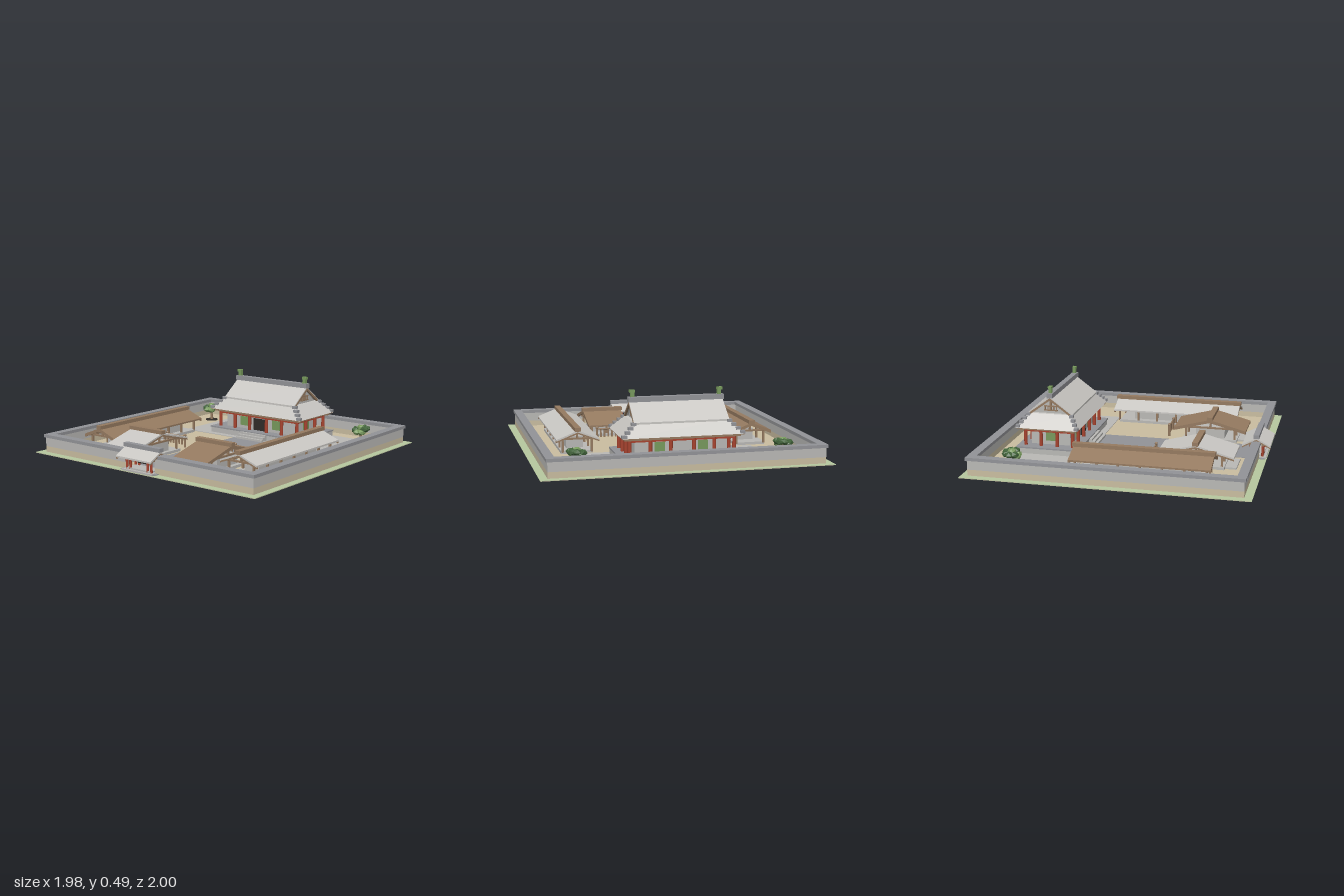
import * as THREE from 'three';

const mat = (name, color) => {
  const m = new THREE.MeshStandardMaterial({ color });
  m.name = name;
  return m;
};

export function createModel() {
  const sand = mat('sand', 0xc9bda0), grass = mat('grass', 0xb6c79f), plaster = mat('plaster', 0xb9b8b5);
  const stone = mat('stone', 0x929397), tile = mat('pale roof tile', 0xc9c7c3), wood = mat('wood', 0x957a60);
  const red = mat('red lacquer', 0xa8432e), leaf = mat('dark leaf', 0x41633a), jade = mat('jade green', 0x77995c);
  const dark = mat('dark timber', 0x302c28);

  const add = (parent, name, geometry, material, x = 0, y = 0, z = 0) => {
    const m = new THREE.Mesh(geometry, material);
    m.name = name;
    m.position.set(x, y, z);
    parent.add(m);
    return m;
  };
  // Box whose y is its underside
  const box = (parent, name, material, w, h, d, x, y, z) =>
    add(parent, name, new THREE.BoxGeometry(w, h, d), material, x, y + h / 2, z);
  const post = (parent, name, material, r, h, x, y, z) =>
    add(parent, name, new THREE.CylinderGeometry(r, r, h, 8), material, x, y + h / 2, z);
  const group = (parent, name, x = 0, y = 0, z = 0) => {
    const g = new THREE.Group();
    g.name = name;
    g.position.set(x, y, z);
    parent.add(g);
    return g;
  };
  const extrudeZ = (points, length) => {
    const shape = new THREE.Shape(points.map(([x, y]) => new THREE.Vector2(x, y)));
    const g = new THREE.ExtrudeGeometry(shape, { depth: length, bevelEnabled: false });
    return g.translate(0, 0, -length / 2);
  };
  // Folded roof slab with its ridge along z
  const chevron = (half, eave, peak, t, length) => extrudeZ(
    [[-half, eave], [-half, eave - t], [0, peak - t], [half, eave - t], [half, eave], [0, peak]], length);

  const model = new THREE.Group();
  model.name = 'templeCompound';

  // Ground
  const ground = group(model, 'ground');
  box(ground, 'groundBase', sand, 1.97, 0.003, 1.965, 0, 0, -0.01);
  box(ground, 'grassBorder', grass, 1.975, 0.003, 1.97, 0, 0.003, -0.01);
  box(ground, 'courtyardSand', sand, 1.85, 0.004, 1.86, 0, 0.005, -0.015);
  box(ground, 'centralPath', stone, 0.31, 0.004, 1.24, 0, 0.008, 0.34);
  box(ground, 'hallPaving', plaster, 1.26, 0.006, 0.52, 0, 0.007, -0.54);

  // Perimeter wall, open at the gate
  const wall = group(model, 'perimeterWall');
  const wallRun = (w, d, x, z, capW, capD) => {
    box(wall, 'wallFoot', sand, w, 0.045, d, x, 0.003, z);
    box(wall, 'wallBody', plaster, w, 0.065, d, x, 0.048, z);
    box(wall, 'wallCap', stone, capW, 0.022, capD, x, 0.113, z);
  };
  for (const s of [-1, 1]) {
    wallRun(0.04, 1.87, s * 0.915, -0.015, 0.06, 1.89);
    wallRun(0.775, 0.04, s * 0.5075, 0.9, 0.765, 0.063);
  }
  wallRun(1.79, 0.04, 0, -0.93, 1.77, 0.063);

  // Open timber-framed building, ridge along z
  const gableBuilding = (name, roofMat, half, length, eave, peak, x, z, turn) => {
    const g = group(model, name, x, 0, z);
    g.rotation.y = turn;
    add(g, 'roof', chevron(half, eave, peak, 0.012, length), roofMat);
    box(g, 'ridge', wood, 0.042, 0.026, length + 0.015, 0, peak - 0.006, 0);
    box(g, 'floor', plaster, half * 1.5, 0.02, length * 0.92, 0, 0.008, 0);
    const inset = half * 0.68, span = length / 2 - 0.035;
    const under = peak - (peak - eave) * 0.68 - 0.022;
    const bays = Math.round(length / 0.16);
    for (const s of [-1, 1]) {
      add(g, 'bargeBoard', chevron(half, eave - 0.011, peak - 0.011, 0.012, 0.012), wood, 0, 0, s * (length / 2 - 0.006));
      box(g, 'eaveBeam', wood, 0.014, 0.014, length - 0.03, s * inset, under - 0.006, 0);
      box(g, 'tieBeam', wood, inset * 2, 0.012, 0.014, 0, under - 0.006, s * span);
      box(g, 'kingPost', wood, 0.014, peak - under - 0.02, 0.014, 0, under, s * span);
      for (let i = 0; i <= bays; i++)
        box(g, 'post', wood, 0.014, under - 0.02, 0.014, s * inset, 0.02, -span + (2 * span * i) / bays);
    }
    box(g, 'innerRoom', plaster, half * 0.8, under - 0.03, length * 0.7, 0, 0.026, 0);
    return g;
  };
  gableBuilding('rightGallery', wood, 0.15, 0.97, 0.118, 0.176, -0.635, 0.195, 0);
  gableBuilding('leftGallery', tile, 0.15, 0.97, 0.118, 0.176, 0.63, 0.195, 0);
  gableBuilding('rightPavilion', tile, 0.268, 0.295, 0.105, 0.176, -0.313, 0.518, Math.PI / 2);
  gableBuilding('leftPavilion', wood, 0.268, 0.295, 0.105, 0.176, 0.308, 0.518, Math.PI / 2);

  // Racks and thresholds beside the pavilions
  for (const s of [-1, 1]) {
    const rack = group(model, 'rack', s * 0.32, 0, 0.2);
    const rail = add(rack, 'rail', new THREE.CylinderGeometry(0.006, 0.006, 0.18, 8), wood, 0, 0.088, 0);
    rail.rotation.z = Math.PI / 2;
    for (const e of [-1, 1]) {
      post(rack, 'rackPost', wood, 0.009, 0.09, e * 0.085, 0.008, 0);
      add(rack, 'finial', new THREE.SphereGeometry(0.011, 8, 6), wood, e * 0.085, 0.098, 0);
    }
    for (let i = -2; i <= 2; i++) box(rack, 'slat', wood, 0.012, 0.06, 0.006, i * 0.028, 0.026, 0);
    box(model, 'threshold', plaster, 0.2, 0.014, 0.08, s * 0.32, 0.008, 0.76);
  }

  // Entrance gate
  const gate = group(model, 'gate', 0, 0, 0.9);
  const gateRoof = add(gate, 'gateRoof', chevron(0.1, 0.108, 0.162, 0.012, 0.315), tile);
  gateRoof.rotation.y = Math.PI / 2;
  box(gate, 'gateRidge', stone, 0.325, 0.026, 0.04, 0, 0.157, 0);
  box(gate, 'gateFloor', plaster, 0.27, 0.014, 0.13, 0, 0.003, 0.005);
  box(gate, 'gateStep', plaster, 0.22, 0.012, 0.1, 0, 0.015, 0);
  for (const s of [-1, 1]) {
    box(gate, 'gateBeam', wood, 0.28, 0.014, 0.016, 0, 0.098, s * 0.045);
    const board = add(gate, 'gateBargeBoard', chevron(0.1, 0.097, 0.151, 0.011, 0.012), wood, s * 0.15, 0, 0);
    board.rotation.y = Math.PI / 2;
    for (const x of [-0.11, -0.078, 0.078, 0.11])
      post(gate, 'gateColumn', red, 0.009, 0.09, x, 0.014, s * 0.042);
  }
  box(gate, 'gateLintel', red, 0.2, 0.012, 0.012, 0, 0.088, 0.042);
  box(gate, 'gatePanel', dark, 0.1, 0.032, 0.008, 0, 0.056, 0.0);

  // Main hall
  const hall = group(model, 'mainHall', 0, 0, -0.555);
  box(hall, 'podium', plaster, 0.83, 0.045, 0.45, 0, 0.01, 0);
  box(hall, 'podiumEdge', stone, 0.84, 0.01, 0.46, 0, 0.052, 0);
  for (let i = 0; i < 3; i++)
    box(hall, 'hallStep', plaster, 0.24, 0.045 - i * 0.014, 0.022, 0, 0.01, 0.238 + i * 0.022);
  box(hall, 'hallBody', plaster, 0.64, 0.125, 0.29, 0, 0.062, 0);
  const columnX = [-0.36, -0.22, -0.08, 0.08, 0.22, 0.36];
  for (const s of [-1, 1]) {
    for (const x of columnX) post(hall, 'hallColumn', red, 0.013, 0.122, x, 0.062, s * 0.175);
    for (const z of [-0.06, 0.06]) post(hall, 'hallColumn', red, 0.013, 0.122, s * 0.36, 0.062, z);
    box(hall, 'hallBeam', wood, 0.8, 0.018, 0.03, 0, 0.18, s * 0.185);
    box(hall, 'hallSideBeam', wood, 0.03, 0.018, 0.39, s * 0.37, 0.18, 0);
    box(hall, 'hallRail', red, 0.74, 0.012, 0.014, 0, 0.165, s * 0.175);
    box(hall, 'hallSideRail', red, 0.014, 0.012, 0.35, s * 0.36, 0.165, 0);
    box(hall, 'sideWindow', jade, 0.006, 0.07, 0.07, s * 0.322, 0.09, 0);
    for (const e of [-1, 1]) box(hall, 'window', jade, 0.07, 0.07, 0.006, e * 0.15, 0.085, s * 0.147);
  }
  box(hall, 'hallDoor', dark, 0.12, 0.09, 0.008, 0, 0.062, 0.148);
  box(hall, 'eaveBoard', wood, 0.835, 0.008, 0.445, 0, 0.194, 0);

  // Hipped skirt: a box with its upper corners drawn in
  const skirt = new THREE.BoxGeometry(0.84, 0.09, 0.455).toNonIndexed();
  const p = skirt.attributes.position;
  for (let i = 0; i < p.count; i++)
    if (p.getY(i) > 0) p.setXYZ(i, Math.sign(p.getX(i)) * 0.325, p.getY(i), Math.sign(p.getZ(i)) * 0.158);
  skirt.computeVertexNormals();
  add(hall, 'skirtRoof', skirt, tile, 0, 0.245, 0);

  // Upper gabled roof
  const upper = group(hall, 'upperRoof');
  upper.rotation.y = Math.PI / 2;
  add(upper, 'gableRoof', chevron(0.165, 0.294, 0.415, 0.014, 0.655), tile);
  add(upper, 'gableFill', extrudeZ([[-0.14, 0.288], [0.14, 0.288], [0, 0.398]], 0.6), plaster);
  for (const s of [-1, 1]) {
    add(upper, 'gableBoard', chevron(0.165, 0.286, 0.407, 0.018, 0.014), wood, 0, 0, s * 0.322);
    box(upper, 'gablePost', wood, 0.014, 0.08, 0.01, 0, 0.31, s * 0.304);
    for (const y of [0.308, 0.338]) box(upper, 'gableBar', wood, 0.1, 0.008, 0.01, 0, y, s * 0.304);
    for (let i = -2; i <= 2; i++)
      box(upper, 'gableSlat', wood, 0.007, 0.038, 0.008, i * 0.021, 0.308, s * 0.304);
  }
  box(hall, 'hallRidge', stone, 0.665, 0.034, 0.042, 0, 0.407, 0);

  // Ridge ornaments and stepped hip blocks
  for (const s of [-1, 1]) {
    box(hall, 'ornamentBase', jade, 0.026, 0.035, 0.022, s * 0.303, 0.44, 0);
    box(hall, 'ornamentHead', jade, 0.036, 0.018, 0.026, s * 0.306, 0.472, 0);
    for (const e of [-1, 1])
      for (let i = 0; i < 4; i++)
        box(hall, 'hipBlock', stone, 0.034, 0.02, 0.03, s * (0.404 - i * 0.025), 0.202 + i * 0.024, e * (0.214 - i * 0.018));
  }

  // Trees with clustered foliage
  for (const [x, z] of [[-0.72, -0.705], [0.71, -0.71]]) {
    const tree = group(model, 'tree', x, 0, z);
    add(tree, 'soil', new THREE.CylinderGeometry(0.05, 0.05, 0.006, 12), dark, 0, 0.013, 0);
    add(tree, 'trunk', new THREE.CylinderGeometry(0.008, 0.012, 0.09, 7), wood, 0, 0.055, 0);
    for (let i = 0; i < 9; i++) {
      const a = i * 2.4, r = i ? 0.04 : 0;
      const clump = add(tree, 'foliage', new THREE.IcosahedronGeometry(0.033, 0), i % 3 ? leaf : jade,
        Math.cos(a) * r, i ? 0.1 + (i % 3) * 0.011 : 0.128, Math.sin(a) * r);
      clump.scale.y = 0.75;
      clump.rotation.y = a;
    }
  }
  return model;
}
